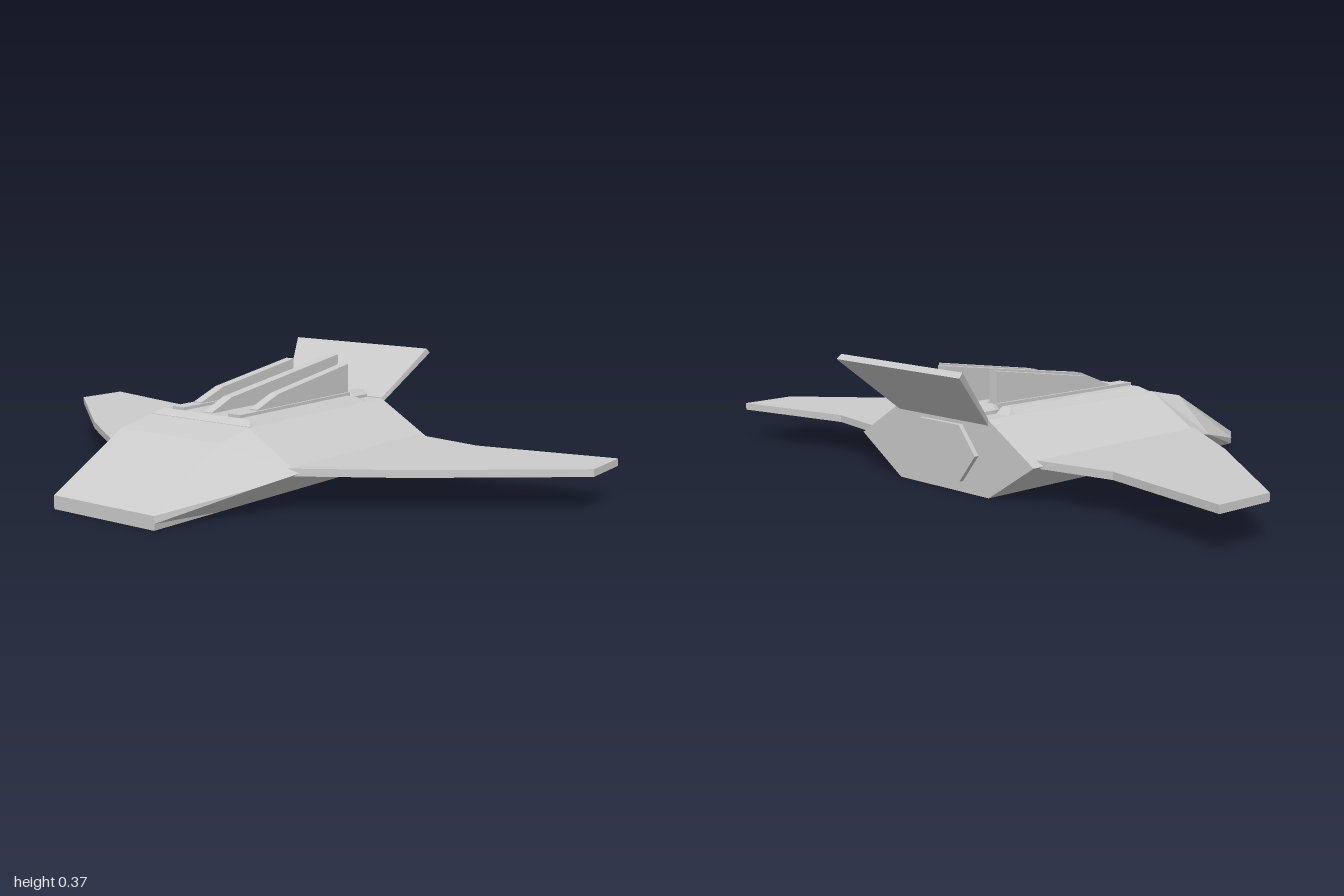
import * as THREE from 'three';

const material = new THREE.MeshStandardMaterial({ color: 0xcccccc, flatShading: true });

function add(group, name, geometry) {
  const mesh = new THREE.Mesh(geometry, material);
  mesh.name = name;
  group.add(mesh);
  return mesh;
}

// Skin cross-sections { z, pts } ordered front to back, pts counterclockwise seen from the front
function loft(sections) {
  const pos = [];
  const n = sections[0].pts.length;
  const put = (s, j) => pos.push(...s.pts[j % n], s.z);
  for (let i = 0; i < sections.length - 1; i++) {
    const a = sections[i], b = sections[i + 1];
    for (let j = 0; j < n; j++) {
      put(a, j); put(b, j); put(a, j + 1);
      put(a, j + 1); put(b, j); put(b, j + 1);
    }
  }
  const first = sections[0], last = sections[sections.length - 1];
  for (let j = 1; j < n - 1; j++) {
    put(first, 0); put(first, j); put(first, j + 1);
    put(last, 0); put(last, j + 1); put(last, j);
  }
  const geometry = new THREE.BufferGeometry();
  geometry.setAttribute('position', new THREE.Float32BufferAttribute(pos, 3));
  geometry.computeVertexNormals();
  return geometry;
}

function extrude(outline, depth) {
  const shape = new THREE.Shape(outline.map(([x, y]) => new THREE.Vector2(x, y)));
  return new THREE.ExtrudeGeometry(shape, { depth, bevelEnabled: false });
}

// Side profile of [z, y] points, given a width centred on x
function sideProfile(points, width, x = 0) {
  return extrude(points, width).rotateY(-Math.PI / 2).translate(x + width / 2, 0, 0);
}

export function createModel() {
  const model = new THREE.Group();

  // Six-sided hull: z, top height, side edge x and y
  const hullSection = ([z, top, sx, sy]) => ({
    z,
    pts: [[sx, sy], [0.19, top], [-0.19, top], [-sx, sy], [-0.19, 0.003], [0.19, 0.003]],
  });
  add(model, 'hull', loft([
    [0.62, 0.043, 0.192, 0.022],
    [0.35, 0.195, 0.311, 0.086],
    [0.225, 0.221, 0.366, 0.113],
    [-0.455, 0.221, 0.366, 0.113],
  ].map(hullSection)));

  // Slightly raised deck, ramped at both ends
  const deckSection = ([z, y, x]) => ({
    z, pts: [[0.19, 0.215], [x, y], [-x, y], [-0.19, 0.215]],
  });
  add(model, 'deck', loft([
    [0.215, 0.222, 0.188], [0.19, 0.238, 0.165], [-0.345, 0.238, 0.165], [-0.375, 0.221, 0.188],
  ].map(deckSection)));

  // Centre fin
  add(model, 'centreFin', sideProfile(
    [[0.18, 0.21], [0.18, 0.24], [0.09, 0.275], [-0.455, 0.35], [-0.455, 0.21]], 0.032));

  for (const side of [1, -1]) {
    // Flat swept wing
    const outline = [[0.3, 0.265], [0.366, 0.22], [0.6, 0.055], [1, -0.285], [0.99, -0.466],
      [0.58, -0.38], [0.366, -0.418], [0.3, -0.43]];
    add(model, side > 0 ? 'leftWing' : 'rightWing',
      extrude(outline.map(([x, z]) => [side * x, z]), 0.022)
        .rotateX(Math.PI / 2).translate(0, 0.127, 0));

    // Rail, side fin and rear nozzle
    const x = side * 0.108;
    add(model, 'rail', sideProfile([[0.19, 0.21], [0.19, 0.247], [-0.36, 0.247], [-0.36, 0.21]], 0.046, x));
    add(model, 'sideFin', sideProfile(
      [[0.1, 0.23], [0.1, 0.25], [0, 0.285], [-0.36, 0.337], [-0.36, 0.23]], 0.03, x));
    const nozzle = new THREE.CylinderGeometry(0.022, 0.03, 0.03, 8).translate(0, 0.06, 0);
    add(model, 'nozzleCollar', nozzle.rotateY(Math.PI / 8).rotateX(Math.PI / 2).translate(x, 0.22, -0.42));
    add(model, 'nozzle', new THREE.CylinderGeometry(0.03, 0.026, 0.08, 8)
      .rotateY(Math.PI / 8).rotateX(Math.PI / 2).translate(x, 0.22, -0.415));
  }

  // Tilted tail panel, flaring towards its upper edge
  const tail = sideProfile([[-0.455, 0.205], [-0.455, 0.224], [-0.606, 0.373], [-0.62, 0.359]], 0.38);
  const p = tail.attributes.position;
  for (let i = 0; i < p.count; i++) {
    const t = (-0.455 - p.getZ(i)) / 0.16;
    p.setX(i, p.getX(i) * (1 + 0.39 * Math.min(1, t)));
  }
  tail.computeVertexNormals();
  add(model, 'tailPanel', tail);

  // Hexagonal plate on the stern
  const hexagon = [[0.15, 0.115], [0.085, 0.195], [-0.085, 0.195], [-0.15, 0.115], [-0.085, 0.035], [0.085, 0.035]];
  add(model, 'sternPlate', loft([{ z: -0.45, pts: hexagon }, { z: -0.469, pts: hexagon }]));

  return model;
}
